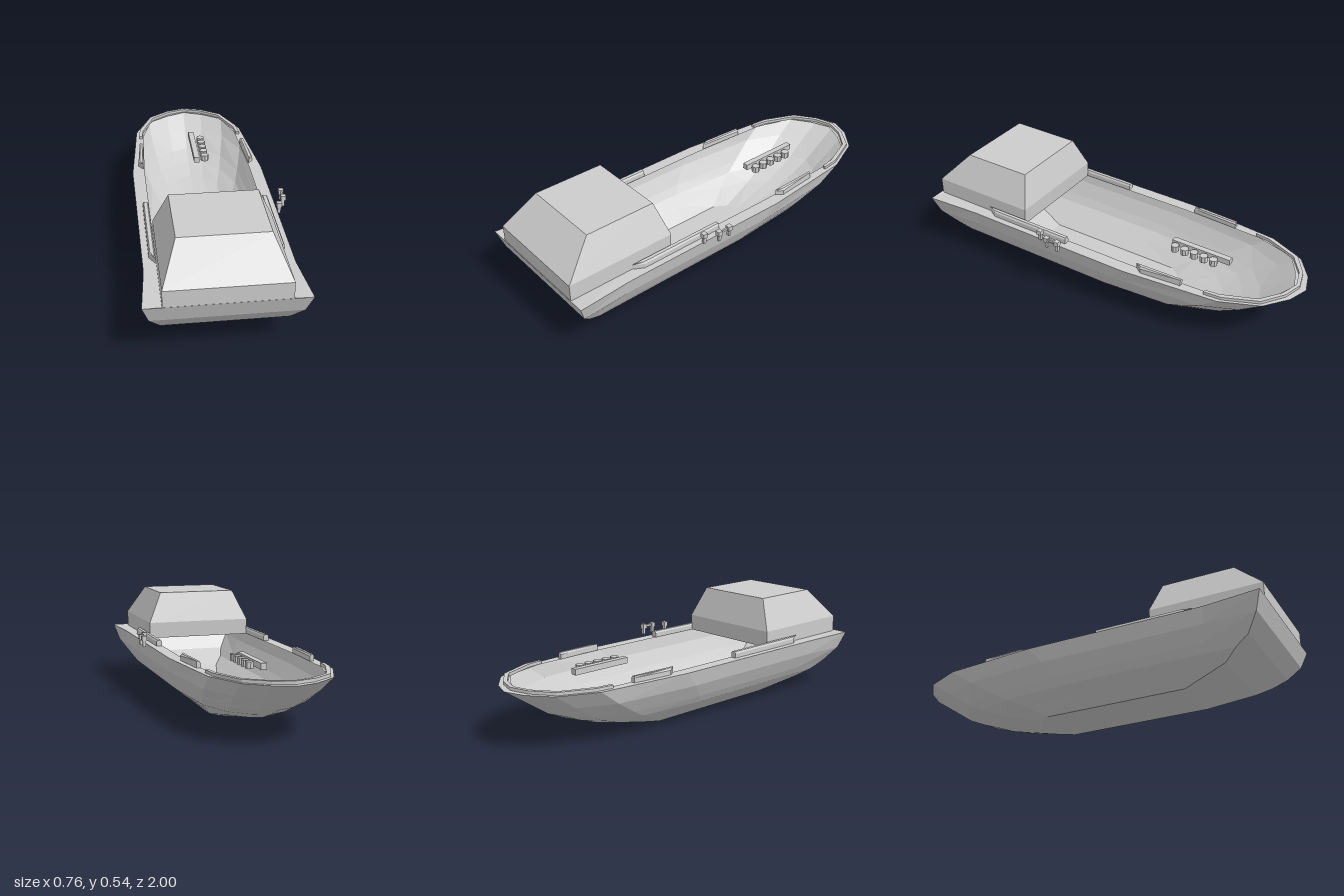
import * as THREE from 'three';

const hullGrey = new THREE.MeshStandardMaterial({ color: 0xcccccc, side: THREE.DoubleSide });
hullGrey.name = 'hullGrey';
const CX = -0.013; // centreline of the hull

// Joins closed rings of [x, y, z] points (counter-clockwise from above) with flat faces.
function loft(rings, capBottom = true, capTop = true) {
  const pos = [];
  const tri = (a, b, c) => pos.push(...a, ...b, ...c);
  const n = rings[0].length;
  for (let r = 0; r < rings.length - 1; r++) {
    for (let i = 0; i < n; i++) {
      const j = (i + 1) % n;
      const [a, b, c, d] = [rings[r][i], rings[r][j], rings[r + 1][j], rings[r + 1][i]];
      tri(a, b, c);
      tri(a, c, d);
    }
  }
  const first = rings[0], last = rings[rings.length - 1];
  for (let i = 1; i < n - 1; i++) {
    if (capBottom) tri(first[0], first[i + 1], first[i]);
    if (capTop) tri(last[0], last[i], last[i + 1]);
  }
  const geo = new THREE.BufferGeometry();
  geo.setAttribute('position', new THREE.Float32BufferAttribute(pos, 3));
  geo.computeVertexNormals();
  return geo;
}

// Mirrors a half outline running from the stern to the bow tip.
const mirrorRing = (half) => [
  ...half,
  ...half.slice(0, -1).reverse().map(([x, y, z]) => [-x, y, z]),
];

const rect = (y, hw, z0, z1) => [[hw, y, z1], [hw, y, z0], [-hw, y, z0], [-hw, y, z1]];

export function createModel() {
  const model = new THREE.Group();
  model.name = 'boat';

  const add = (name, geo, x = CX, y = 0, z = 0) => {
    const mesh = new THREE.Mesh(geo, hullGrey);
    mesh.name = name;
    mesh.position.set(x, y, z);
    model.add(mesh);
    return mesh;
  };

  // Hull: waterlines as [height, half width, stern z, shoulder z, bow z, mid taper, shoulder taper]
  const waterlines = [
    [0, 0.14, 0.54, -0.2, -0.3, 1, 1],
    [0.055, 0.21, 0.77, -0.3, -0.57, 1, 0.93],
    [0.095, 0.26, 0.84, -0.39, -0.68, 1, 0.9],
    [0.135, 0.286, 0.91, -0.46, -0.77, 1, 0.89],
    [0.21, 0.338, 0.97, -0.58, -0.88, 0.96, 0.85],
    [0.29, 0.367, 1, -0.69, -1, 0.935, 0.81],
  ];
  const rings = waterlines.map(([y, w, stern, shoulder, bow, mid, taper]) => {
    const side = (t) => stern + (shoulder - stern) * t;
    const nose = (t) => shoulder + (bow - shoulder) * t;
    const ws = w * taper;
    return mirrorRing([
      [w, y, stern], [w * mid, y, side(0.165)], [w * mid, y, side(0.71)], [ws, y, shoulder],
      [ws * 0.72, y, nose(0.61)], [ws * 0.34, y, nose(0.89)], [0, y, bow],
    ]);
  });
  const deck = rings[rings.length - 1];
  deck[0][1] = deck[deck.length - 1][1] = 0.296; // slight lift at the stern corners

  // Flat gunwale turned inward from the deck edge
  rings.push(mirrorRing([
    [0.28, 0.29, 0.99], [0.28, 0.29, 0.72], [0.28, 0.29, -0.2], [0.262, 0.29, -0.63],
    [0.205, 0.29, -0.83], [0.1, 0.29, -0.9], [0, 0.29, -0.94],
  ]));
  add('hull', loft(rings, true, false));

  // Cabin: straight walls below, sloping walls above
  add('cabin', loft([
    rect(0.29, 0.281, 0.435, 0.995),
    rect(0.375, 0.281, 0.43, 0.995),
    rect(0.535, 0.208, 0.475, 0.84),
  ]));

  // Side rails with chamfered tops, mirrored
  const railPlans = {
    sternRail: [[0.312, 0.61], [0.312, 0.16], [0.283, 0.16], [0.283, 0.66]],
    midRail: [[0.308, -0.28], [0.29, -0.49], [0.27, -0.49], [0.284, -0.245]],
  };
  for (const [name, plan] of Object.entries(railPlans)) {
    const cx = plan.reduce((s, p) => s + p[0], 0) / 4;
    for (const s of [1, -1]) {
      const level = (y, k) => {
        const ring = plan.map(([x, z]) => [s * (cx + (x - cx) * k), y, z]);
        return s > 0 ? ring : ring.reverse();
      };
      add(name, loft([level(0.288, 1), level(0.313, 1), level(0.322, 0.6)]));
    }
  }

  // Bow rail: a low strip following the nose
  const bowPath = [[0.286, -0.61], [0.277, -0.7], [0.205, -0.865], [0.098, -0.94], [0, -0.968]];
  const outer = mirrorRing(bowPath.map(([x, z]) => [x, 0, z]));
  const inner = outer.map(([x, , z]) => [x * 0.94, 0, z + (z < -0.65 ? 0.018 : 0)]);
  const shape = new THREE.Shape(
    [...outer, ...inner.reverse()].map(([x, , z]) => new THREE.Vector2(x, -z)));
  const bowRail = new THREE.ExtrudeGeometry(shape, { depth: 0.016, bevelEnabled: false });
  bowRail.rotateX(-Math.PI / 2);
  add('bowRail', bowRail, CX, 0.289);

  // Foredeck bar with a row of short drums beside it
  add('foredeckBar', new THREE.BoxGeometry(0.03, 0.03, 0.32), -0.005, 0.303, -0.45);
  for (let i = 0; i < 5; i++) {
    const drum = new THREE.CylinderGeometry(0.021, 0.021, 0.032, 8).toNonIndexed();
    drum.computeVertexNormals();
    add('drum', drum, 0.04, 0.301, -0.324 - i * 0.0535);
  }

  // Mooring posts: one single, two joined by a bar
  for (const [x, z] of [[0.335, 0.285], [0.367, 0.22], [0.367, 0.157]]) {
    add('postStem', new THREE.BoxGeometry(0.015, 0.034, 0.015), x, 0.309, z);
    add('postHead', new THREE.BoxGeometry(0.025, 0.024, 0.025), x, 0.336, z);
  }
  add('postBar', new THREE.BoxGeometry(0.008, 0.012, 0.06), 0.367, 0.336, 0.188);

  return model;
}
